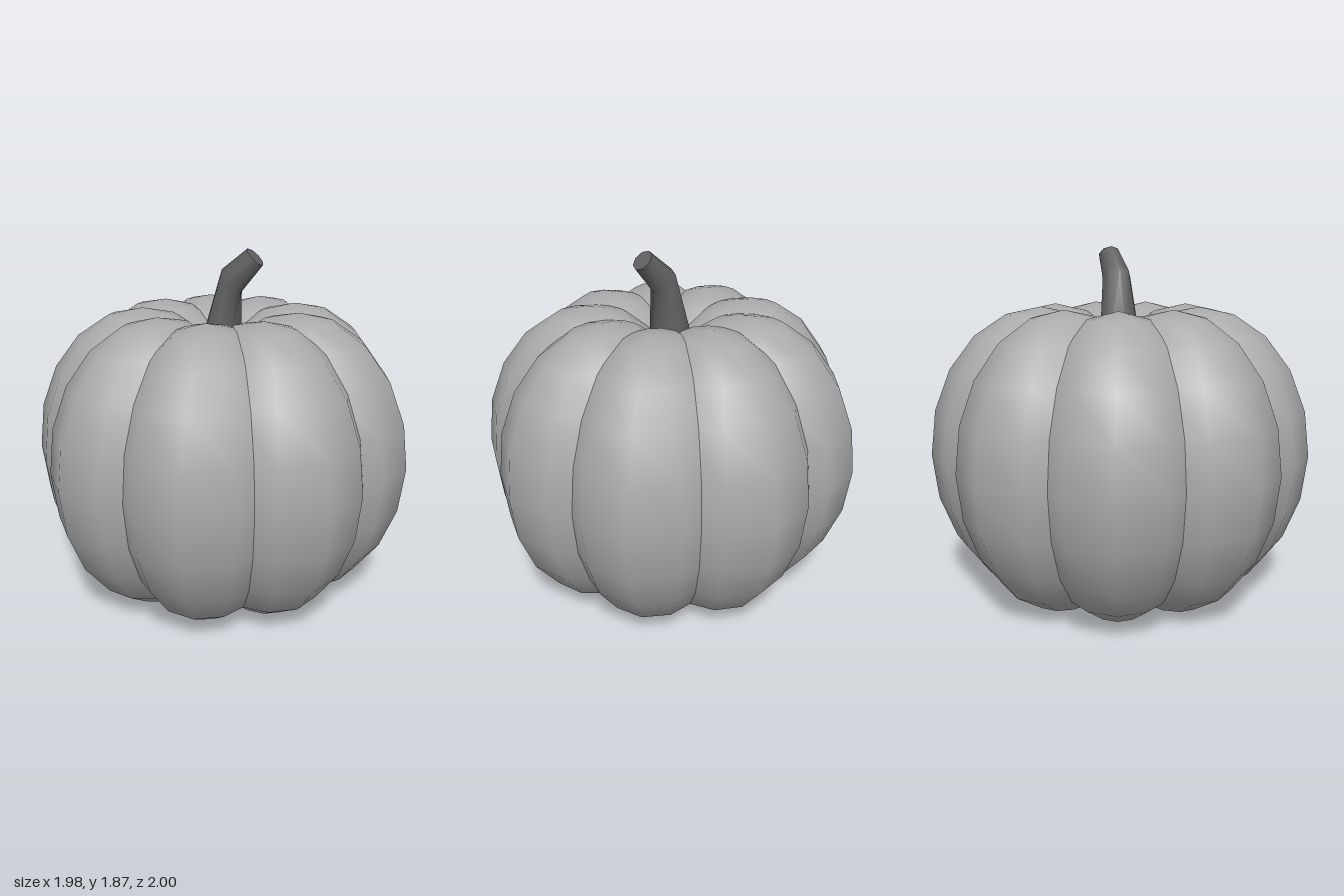
import * as THREE from 'three';
import { toCreasedNormals } from 'three/addons/utils/BufferGeometryUtils.js';

const AXIS_X = -0.03; // the odd lobe count sets the axis slightly off centre
const LOBES = 9;

// Bent, tapering stem: each ring of a cylinder is placed along the bend
function stemGeometry() {
  const rings = [
    { x: AXIS_X, y: 1.4, radius: 0.11, tilt: 0 },
    { x: 0.022, y: 1.698, radius: 0.078, tilt: 0.82 },
    { x: 0.15, y: 1.825, radius: 0.058, tilt: 0.785 },
  ];
  const geometry = new THREE.CylinderGeometry(1, 1, 2, 8, 2);
  const pos = geometry.attributes.position;
  for (let i = 0; i < pos.count; i++) {
    const ring = rings[Math.round(pos.getY(i)) + 1];
    const across = pos.getX(i) * ring.radius;
    pos.setXYZ(
      i,
      ring.x + across * Math.cos(ring.tilt),
      ring.y - across * Math.sin(ring.tilt),
      pos.getZ(i) * ring.radius
    );
  }
  return toCreasedNormals(geometry, 0.95);
}

export function createModel() {
  const model = new THREE.Group();
  model.name = 'pumpkin';

  const skin = new THREE.MeshStandardMaterial({ color: 0xaaaaaa });
  skin.name = 'skin grey';
  const stemGrey = new THREE.MeshStandardMaterial({ color: 0x606060 });
  stemGrey.name = 'stem grey';

  // Overlapping ellipsoid lobes around the axis
  const lobeGeometry = new THREE.SphereGeometry(1, 12, 10);
  lobeGeometry.scale(0.595, 0.7775, 0.48);
  lobeGeometry.translate(0.42, 0.7775, 0);
  const body = new THREE.Group();
  body.name = 'body';
  body.position.x = AXIS_X;
  for (let i = 0; i < LOBES; i++) {
    const lobe = new THREE.Mesh(lobeGeometry, skin);
    lobe.name = 'lobe' + (i + 1);
    lobe.rotation.y = (i / LOBES) * Math.PI * 2;
    body.add(lobe);
  }
  model.add(body);

  const stem = new THREE.Mesh(stemGeometry(), stemGrey);
  stem.name = 'stem';
  model.add(stem);

  return model;
}
